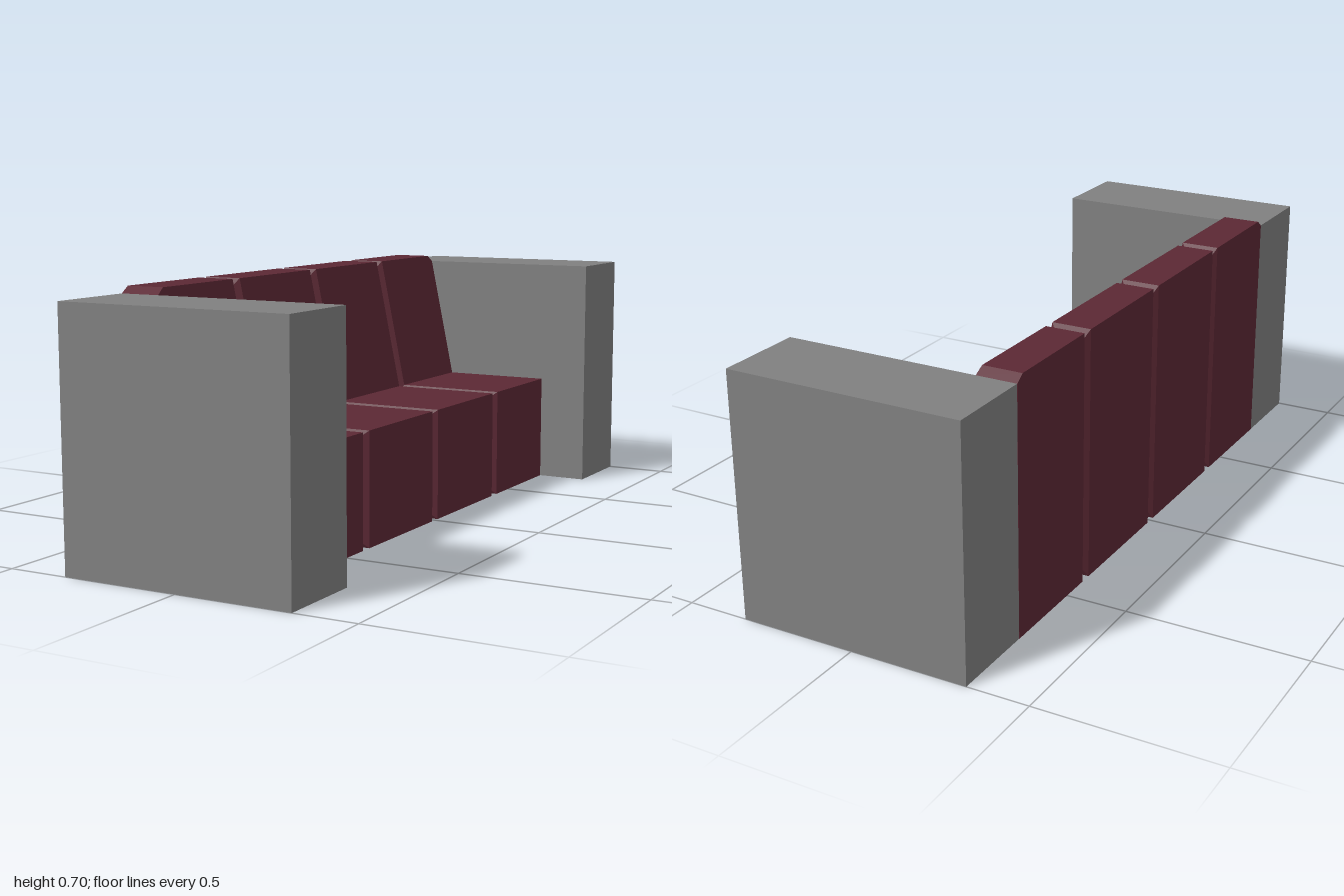
import * as THREE from 'three';

// Side profiles (x, y), counter-clockwise: base back, base front, seat front, seat back, top front, top back
const FULL = [[-0.33, 0], [0.18, 0], [0.18, 0.315], [-0.14, 0.315], [-0.22, 0.698], [-0.33, 0.698]];
const GROOVE = [[-0.315, 0.03], [0.14, 0.03], [0.14, 0.285], [-0.165, 0.285], [-0.24, 0.67], [-0.315, 0.67]];
const END = [[-0.33, 0], [0.18, 0], [0.18, 0.315], [-0.14, 0.315], [-0.217, 0.68], [-0.33, 0.68]];

// Joins equal profiles along z into a closed, faceted solid
function loft(sections) {
  const pos = [];
  const rings = sections.map(({ profile, z }) => profile.map(([x, y]) => [x, y, z]));
  const quad = (a, b, c, d) => pos.push(...a, ...b, ...c, ...a, ...c, ...d);
  for (let s = 0; s < rings.length - 1; s++) {
    const r = rings[s], q = rings[s + 1], n = r.length;
    for (let i = 0; i < n; i++) {
      const j = (i + 1) % n;
      quad(r[i], r[j], q[j], q[i]);
    }
  }
  // End caps: one quad for the seat, one for the backrest
  const f = rings[0], l = rings[rings.length - 1];
  quad(l[0], l[1], l[2], l[3]);
  quad(l[0], l[3], l[4], l[5]);
  quad(f[3], f[2], f[1], f[0]);
  quad(f[5], f[4], f[3], f[0]);
  const g = new THREE.BufferGeometry();
  g.setAttribute('position', new THREE.Float32BufferAttribute(pos, 3));
  g.computeVertexNormals();
  return g;
}

export function createModel() {
  const group = new THREE.Group();
  group.name = 'sofa';
  const grey = new THREE.MeshStandardMaterial({ color: 0x808080 });
  grey.name = 'grey';
  const burgundy = new THREE.MeshStandardMaterial({ color: 0x5c2834 });
  burgundy.name = 'burgundy';

  // Block arms at both ends
  for (const side of [-1, 1]) {
    const arm = new THREE.Mesh(new THREE.BoxGeometry(0.655, 0.68, 0.25), grey);
    arm.name = side > 0 ? 'frontArm' : 'backArm';
    arm.position.set(-0.002, 0.34, side * 0.875);
    group.add(arm);
  }

  // Four seat sections with bevelled seams between them
  const seams = [-0.75, -0.397, 0, 0.397, 0.75];
  for (let i = 0; i < 4; i++) {
    const z0 = seams[i], z1 = seams[i + 1];
    const first = i === 0, last = i === 3;
    const seat = new THREE.Mesh(loft([
      { profile: first ? END : GROOVE, z: z0 },
      { profile: FULL, z: z0 + (first ? 0.025 : 0.017) },
      { profile: FULL, z: z1 - (last ? 0.025 : 0.017) },
      { profile: last ? END : GROOVE, z: z1 },
    ]), burgundy);
    seat.name = 'seatSection' + (i + 1);
    group.add(seat);
  }
  return group;
}
